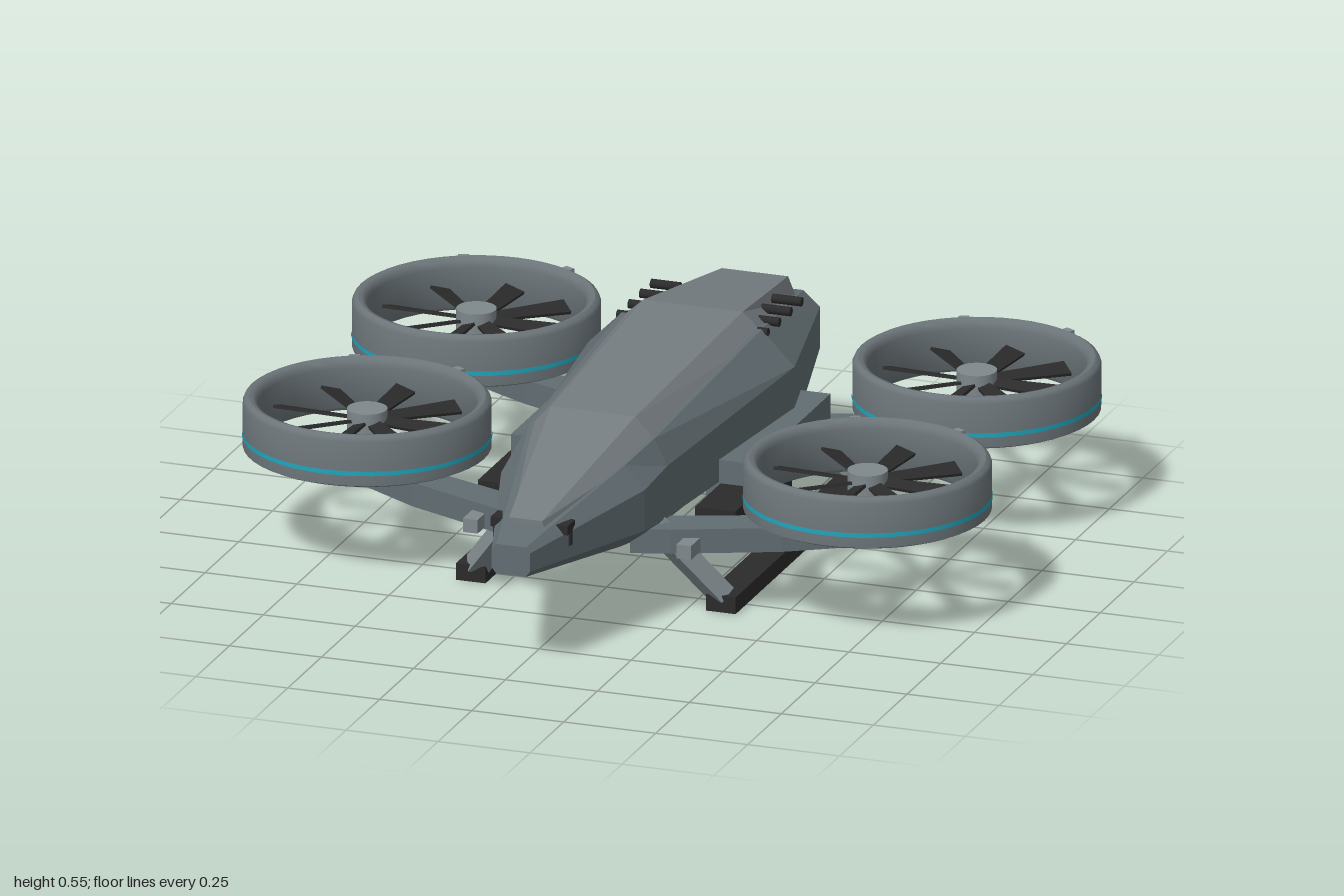
import * as THREE from 'three';
import { toCreasedNormals } from 'three/addons/utils/BufferGeometryUtils.js';

const mat = (name, color) => Object.assign(new THREE.MeshStandardMaterial({ color }), { name });

// Loft through cross-sections running back to front, each counterclockwise seen from +z
function loft(sections) {
  const pos = [], n = sections[0].length;
  const tri = (...p) => p.forEach((v) => pos.push(...v));
  for (let i = 0; i < sections.length - 1; i++) {
    for (let j = 0; j < n; j++) {
      const k = (j + 1) % n;
      const a = sections[i][j], b = sections[i][k], c = sections[i + 1][k], d = sections[i + 1][j];
      tri(a, b, c);
      tri(a, c, d);
    }
  }
  const back = sections[0], front = sections[sections.length - 1];
  for (let j = 1; j < n - 1; j++) {
    tri(back[0], back[j + 1], back[j]);
    tri(front[0], front[j], front[j + 1]);
  }
  const g = new THREE.BufferGeometry();
  g.setAttribute('position', new THREE.Float32BufferAttribute(pos, 3));
  g.computeVertexNormals();
  return g;
}

// Mirrors a right-half outline of [x, y] points into a full section at z
const section = (z, half) => [
  ...half.map(([x, y]) => [x, y, z]),
  ...half.slice().reverse().map(([x, y]) => [-x, y, z]),
];

export function createModel() {
  const root = new THREE.Group();
  root.name = 'quadRotorAircraft';
  const hullMat = mat('hullGrey', 0x626d72);
  const shellMat = mat('shellGrey', 0x757c80);
  const ductMat = mat('ductGrey', 0x6b7478);
  const lightMat = mat('lightGrey', 0x7f888c);
  const darkMat = mat('charcoal', 0x2b2b2b);
  const cyanMat = mat('cyan', 0x22a5bc);

  const add = (name, geo, material, pos = [0, 0, 0], parent = root) => {
    const m = new THREE.Mesh(geo, material);
    m.name = name;
    m.position.set(...pos);
    parent.add(m);
    return m;
  };
  // Box given by its minimum and maximum corners
  const block = (name, a, b, material) => add(name,
    new THREE.BoxGeometry(...a.map((v, i) => Math.abs(b[i] - v))), material, a.map((v, i) => (v + b[i]) / 2));
  // Square bar between two points
  const bar = (name, a, b, w, material) => {
    const p = new THREE.Vector3(...a), q = new THREE.Vector3(...b), d = q.clone().sub(p);
    const m = add(name, new THREE.BoxGeometry(w, d.length(), w), material, p.add(q).multiplyScalar(0.5).toArray());
    m.quaternion.setFromUnitVectors(new THREE.Vector3(0, 1, 0), d.normalize());
  };

  // Faceted fuselage
  const hull = (z, bw, sw, tw, y0, y1, y2, y3) => section(z, [[bw, y0], [sw, y1], [sw, y2], [tw, y3]]);
  add('fuselage', loft([
    hull(-0.91, 0.10, 0.155, 0.11, 0.24, 0.28, 0.39, 0.43),
    hull(-0.38, 0.18, 0.28, 0.19, 0.19, 0.25, 0.42, 0.51),
    hull(0.36, 0.15, 0.205, 0.17, 0.195, 0.25, 0.39, 0.46),
    hull(0.5, 0.13, 0.195, 0.14, 0.21, 0.26, 0.37, 0.43),
    hull(0.96, 0.04, 0.052, 0.04, 0.27, 0.285, 0.335, 0.35),
  ]), hullMat);

  // Raised upper shell
  const cap = (z, bw, tw, y0, y1) => section(z, [[bw, y0], [tw, y1]]);
  add('upperShell', loft([
    cap(-0.85, 0.115, 0.09, 0.425, 0.485),
    cap(-0.39, 0.20, 0.135, 0.49, 0.548),
    cap(0.35, 0.18, 0.115, 0.44, 0.51),
    cap(0.85, 0.055, 0.045, 0.35, 0.385),
  ]), shellMat);

  add('bellySensor', new THREE.CylinderGeometry(0.088, 0.088, 0.05, 32), cyanMat, [0, 0.18, 0.05]);

  // Rotor parts
  const ductGeo = toCreasedNormals(new THREE.LatheGeometry([
    [0.306, 0.27], [0.318, 0.276], [0.318, 0.394], [0.313, 0.404], [0.303, 0.41], [0.293, 0.408],
    [0.284, 0.40], [0.28, 0.385], [0.28, 0.28], [0.286, 0.27], [0.306, 0.27],
  ].map(([r, y]) => new THREE.Vector2(r, y)), 48), 0.6);
  const bandGeo = new THREE.CylinderGeometry(0.32, 0.32, 0.012, 48, 1, true);
  const hubGeo = new THREE.CylinderGeometry(0.052, 0.052, 0.06, 24);
  const mastGeo = new THREE.CylinderGeometry(0.025, 0.025, 0.08, 12);
  const lampGeo = new THREE.BoxGeometry(0.028, 0.025, 0.028);
  const bladeGeo = new THREE.BoxGeometry(0.21, 0.008, 0.055);
  const bp = bladeGeo.attributes.position;
  for (let i = 0; i < bp.count; i++) if (bp.getX(i) < 0) bp.setZ(i, bp.getZ(i) * 0.6);
  bladeGeo.rotateX(0.3).translate(0.145, 0, 0);
  bladeGeo.computeVertexNormals();

  const rotor = (name, x, z) => {
    const g = new THREE.Group();
    g.name = name;
    g.position.set(x, 0, z);
    root.add(g);
    add('duct', ductGeo, ductMat, [0, 0, 0], g);
    add('ductBand', bandGeo, cyanMat, [0, 0.31, 0], g);
    add('hub', hubGeo, lightMat, [0, 0.345, 0], g);
    add('mast', mastGeo, hullMat, [0, 0.28, 0], g);
    for (let i = 0; i < 8; i++) {
      add('blade', bladeGeo, darkMat, [0, 0.345, 0], g).rotation.y = i * Math.PI / 4 - 0.05;
    }
    for (const t of [-0.45, 0.45]) {
      add('ductLamp', lampGeo, lightMat, [0.32 * Math.sin(t), 0.39, -0.32 * Math.cos(t)], g).rotation.y = -t;
    }
  };

  // Tapered flat arm from plan points [x, z]
  const arm = (name, s, pts) => {
    const shape = new THREE.Shape(pts.map(([x, z]) => new THREE.Vector2(s * x, -z)));
    const geo = new THREE.ExtrudeGeometry(shape, { depth: 0.065, bevelEnabled: false });
    add(name, geo.rotateX(-Math.PI / 2), hullMat, [0, 0.18, 0]);
  };

  for (const [side, s] of [['left', 1], ['right', -1]]) {
    rotor(side + 'FrontRotor', s * 0.68, 0.17);
    rotor(side + 'RearRotor', s * 0.68, -0.64);
    arm(side + 'FrontArm', s, [[0.14, 0.35], [0.14, 0.46], [0.24, 0.43], [0.5, 0.32], [0.68, 0.21], [0.68, 0.15]]);
    arm(side + 'RearArm', s, [[0.14, -0.48], [0.14, -0.38], [0.3, -0.43], [0.5, -0.51], [0.68, -0.61], [0.68, -0.66]]);

    // Side nacelle, dark pod and barrel
    block(side + 'Nacelle', [s * 0.2, 0.2, -0.51], [s * 0.33, 0.31, 0.06], hullMat);
    block(side + 'Pod', [s * 0.24, 0.155, -0.17], [s * 0.35, 0.247, 0.25], darkMat);
    block(side + 'Barrel', [s * 0.27, 0.185, 0.2], [s * 0.31, 0.222, 0.47], lightMat);

    // Landing gear
    bar(side + 'FrontLeg', [s * 0.18, 0.235, 0.385], [s * 0.335, 0.035, 0.3], 0.052, lightMat);
    bar(side + 'RearLeg', [s * 0.18, 0.235, -0.58], [s * 0.335, 0.035, -0.66], 0.052, lightMat);
    block(side + 'Skid', [s * 0.3, 0, -0.63], [s * 0.38, 0.045, 0.33], darkMat);

    // Exhaust pipes along the rear of the shell
    for (const z of [-0.39, -0.475, -0.56, -0.64]) {
      const pipe = add(side + 'ExhaustPipe', new THREE.CylinderGeometry(0.012, 0.012, 0.08, 10), darkMat, [s * 0.165, 0.5, z]);
      pipe.rotation.z = Math.PI / 2;
    }

    // Nose sensors
    block(side + 'NoseSensor', [s * 0.065, 0.345, 0.77], [s * 0.105, 0.37, 0.825], darkMat);
    block(side + 'NoseSensorStem', [s * 0.085, 0.31, 0.785], [s * 0.105, 0.35, 0.805], darkMat);
  }
  return root;
}
